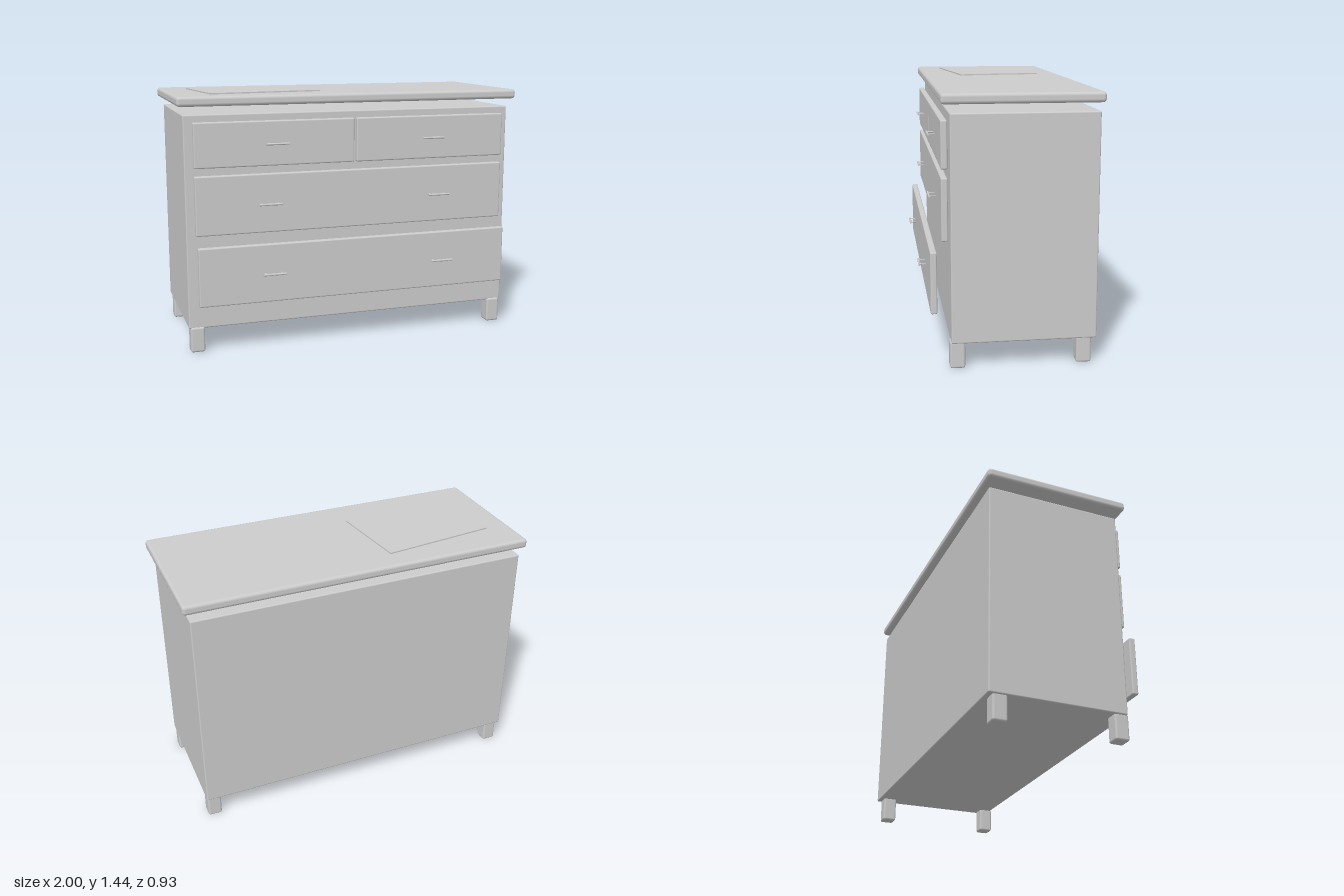
import * as THREE from 'three';
import { RoundedBoxGeometry } from 'three/addons/geometries/RoundedBoxGeometry.js';

export function createModel() {
  const grey = new THREE.MeshStandardMaterial({ color: 0xcccccc });
  grey.name = 'light grey';

  const model = new THREE.Group();
  model.name = 'chestOfDrawers';

  // Softly bevelled box given by its min and max corners
  function block(name, min, max, bevel, parent = model) {
    const size = max.map((v, i) => v - min[i]);
    const mesh = new THREE.Mesh(new RoundedBoxGeometry(...size, 2, bevel), grey);
    mesh.position.set(...min.map((v, i) => (v + max[i]) / 2));
    mesh.name = name;
    parent.add(mesh);
    return mesh;
  }

  // Bar pull on two thin posts
  function handle(x, y, z) {
    const group = new THREE.Group();
    group.name = 'handle';
    const bar = new THREE.Mesh(new THREE.CylinderGeometry(0.006, 0.006, 0.13, 12), grey);
    bar.name = 'handleBar';
    bar.rotation.z = Math.PI / 2;
    bar.position.z = 0.036;
    group.add(bar);
    for (const side of [-1, 1]) {
      const post = new THREE.Mesh(new THREE.CylinderGeometry(0.0035, 0.0035, 0.04, 10), grey);
      post.name = 'handlePost';
      post.rotation.x = Math.PI / 2;
      post.position.set(side * 0.046, 0, 0.016);
      group.add(post);
    }
    group.position.set(x, y, z);
    model.add(group);
  }

  // Carcass and floating top
  block('body', [-0.965, 0.138, -0.443], [0.965, 1.334, 0.323], 0.008);
  block('top', [-1, 1.38, -0.46], [1, 1.434, 0.37], 0.018);

  // Thin sheet lying slightly turned on the top
  const sheet = new THREE.Mesh(new THREE.BoxGeometry(0.656, 0.008, 0.487), grey);
  sheet.name = 'sheet';
  sheet.position.set(-0.5, 1.437, -0.047);
  sheet.rotation.y = 0.122;
  model.add(sheet);

  // Legs
  for (const side of [-1, 1]) {
    for (const z of [0.29, -0.378]) {
      const x = side * 0.917;
      block('leg', [x - 0.04, 0, z - 0.04], [x + 0.04, 0.146, z + 0.04], 0.012);
    }
  }

  // Drawer fronts: [x0, x1, y0, y1, z of face, handle y, handle x positions]
  const drawers = [
    ['topRightDrawer', -0.917, -0.007, 1.046, 1.295, 0.366, 1.17, [-0.462]],
    ['topLeftDrawer', 0.007, 0.917, 1.046, 1.295, 0.366, 1.17, [0.462]],
    ['middleDrawer', -0.917, 0.917, 0.672, 1.003, 0.366, 0.836, [-0.502, 0.502]],
    ['bottomDrawer', -0.917, 0.917, 0.287, 0.618, 0.425, 0.453, [-0.502, 0.502]],
  ];
  for (const [name, x0, x1, y0, y1, z, hy, handles] of drawers) {
    block(name, [x0, y0, z - 0.035], [x1, y1, z], 0.008);
    handles.forEach((hx) => handle(hx, hy, z));
  }

  return model;
}
